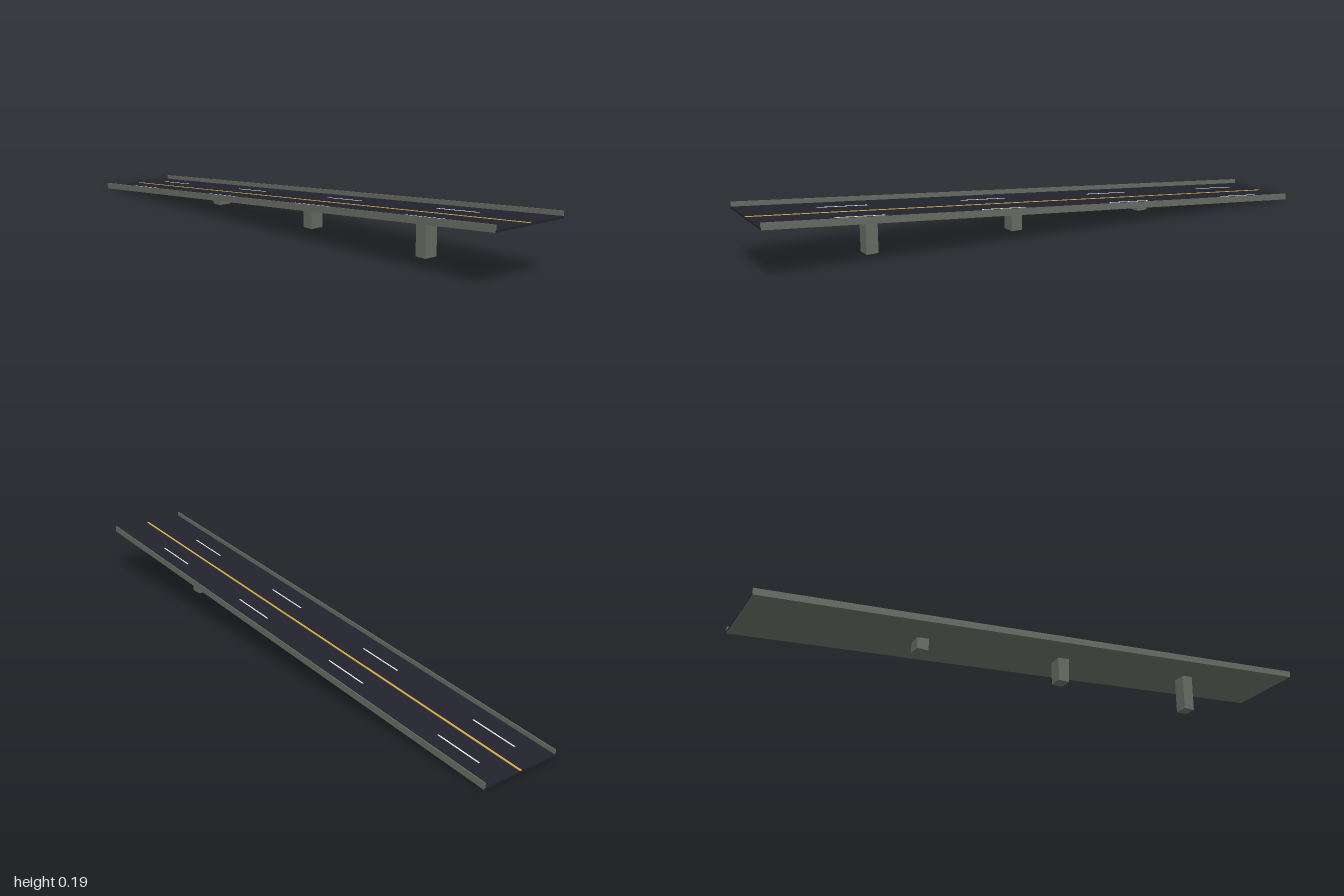
import * as THREE from 'three';

const SLOPE = 0.085;

function material(name, color) {
  const m = new THREE.MeshStandardMaterial({ color });
  m.name = name;
  return m;
}

export function createModel() {
  const concrete = material('concrete', 0x656a60);
  const asphalt = material('asphalt', 0x22222d);
  const yellow = material('yellowPaint', 0xd0a840);
  const white = material('whitePaint', 0xe6e6e6);

  const ramp = new THREE.Group();
  ramp.name = 'roadRamp';

  // Box whose vertices are raised to follow the incline; y is height above the deck underside
  function slopedBox(name, [x0, x1], [y0, y1], [z0, z1], mat) {
    const g = new THREE.BoxGeometry(x1 - x0, y1 - y0, z1 - z0);
    g.translate((x0 + x1) / 2, (y0 + y1) / 2, (z0 + z1) / 2);
    const p = g.attributes.position;
    for (let i = 0; i < p.count; i++) p.setY(i, p.getY(i) + SLOPE * (p.getX(i) + 1));
    g.computeVertexNormals();
    const mesh = new THREE.Mesh(g, mat);
    mesh.name = name;
    ramp.add(mesh);
  }

  // Deck: asphalt on top and at the ends, concrete below and along the sides
  slopedBox('deck', [-1, 1], [0, 0.007], [-0.144, 0.144],
    [asphalt, asphalt, asphalt, concrete, concrete, concrete]);

  // Centre line
  slopedBox('centreLine', [-1, 1], [0.007, 0.0078], [-0.004, 0.004], yellow);

  for (const side of [-1, 1]) {
    // Thin side barriers
    const z = side * 0.1422;
    slopedBox('barrier', [-1, 1], [0.007, 0.022], [z - 0.0018, z + 0.0018], concrete);

    // Lane dashes
    for (let i = 0; i < 4; i++) {
      const x = -0.91 + i * 0.5;
      const zl = side * 0.072;
      slopedBox('laneDash', [x, x + 0.166], [0.007, 0.0078], [zl - 0.0025, zl + 0.0025], white);
    }
  }

  // Piers, growing with the incline; tops are cut to the underside
  for (const x of [-0.42, 0.098, 0.617]) {
    const base = 0.01, half = 0.02;
    const g = new THREE.BoxGeometry(half * 2, 1, 0.048);
    const p = g.attributes.position;
    for (let i = 0; i < p.count; i++) {
      p.setY(i, p.getY(i) < 0 ? base : SLOPE * (x + p.getX(i) + 1) + 0.001);
    }
    g.computeVertexNormals();
    const pier = new THREE.Mesh(g, concrete);
    pier.name = 'pier';
    pier.position.x = x;
    ramp.add(pier);
  }

  return ramp;
}
